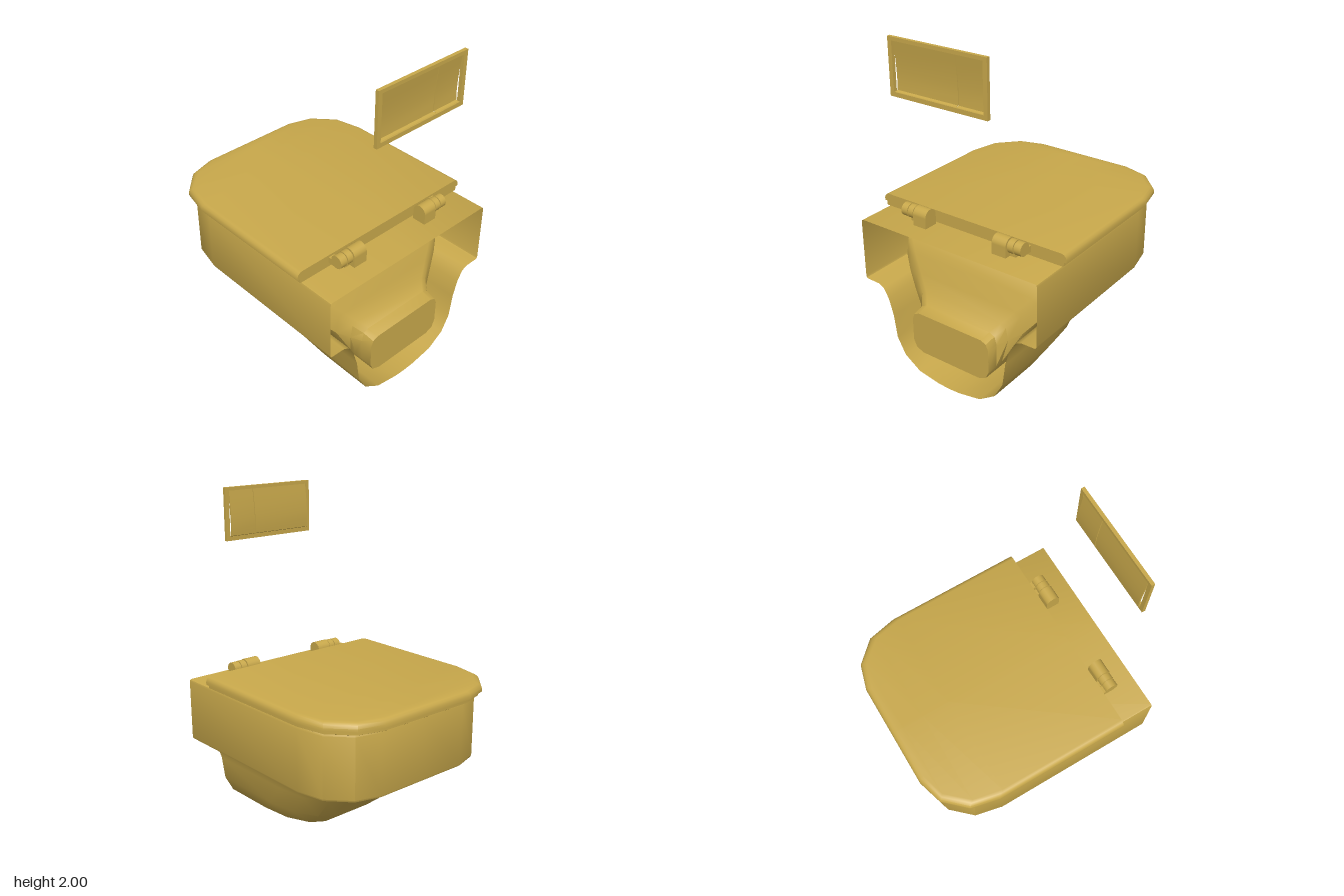
import * as THREE from 'three';
import { toCreasedNormals } from 'three/addons/utils/BufferGeometryUtils.js';

const material = new THREE.MeshStandardMaterial({ color: 0xc8a84b, side: THREE.DoubleSide });

function add(parent, name, geometry) {
  const mesh = new THREE.Mesh(geometry, material);
  mesh.name = name;
  parent.add(mesh);
  return mesh;
}

// Skins a list of equal-length rings of points; empty triangles are dropped
function loft(rings, closed, crease = 0.62) {
  const pos = [];
  const tri = (a, b, c) => {
    const area = new THREE.Vector3().subVectors(b, a).cross(new THREE.Vector3().subVectors(c, a)).length();
    if (area > 1e-7) for (const p of [a, b, c]) pos.push(p.x, p.y, p.z);
  };
  for (let i = 0; i < rings.length - 1; i++) {
    const r = rings[i], s = rings[i + 1], n = r.length;
    for (let j = 0; j < (closed ? n : n - 1); j++) {
      const k = (j + 1) % n;
      tri(r[j], r[k], s[k]);
      tri(r[j], s[k], s[j]);
    }
  }
  const g = new THREE.BufferGeometry();
  g.setAttribute('position', new THREE.Float32BufferAttribute(pos, 3));
  return toCreasedNormals(g, crease);
}

// Horizontal outline: straight sides from the back, faceted round nose
const NOSE = [[1, 1], [0.94, 0.5], [0.75, 0.13], [0.51, 0], [0, 0]];
function outline([y, w, nose, depth], back) {
  const half = [[w, back], ...NOSE.map(([u, v]) => [w * u, nose + depth * v])];
  const other = half.slice(0, -1).reverse().map(([x, z]) => [-x, z]);
  return [...half, ...other].map(([x, z]) => new THREE.Vector3(x, y, z));
}

function makeBowl() {
  const bowl = new THREE.Group();
  bowl.name = 'bowl';

  // Outer shell, open at the wall side: height, half width, nose z, nose depth
  const rows = [
    [0.9, 0, -0.637, 0.33], [0.9, 0.588, -0.637, 0.33], [0.896, 0.596, -0.646, 0.33],
    [0.885, 0.6, -0.65, 0.33], [0.535, 0.6, -0.65, 0.33], [0.524, 0.596, -0.646, 0.33],
    [0.52, 0.587, -0.637, 0.33], [0.518, 0.5, -0.54, 0.35], [0.5, 0.465, -0.475, 0.36],
    [0.44, 0.43, -0.375, 0.37], [0.34, 0.4, -0.275, 0.38], [0.2, 0.38, -0.16, 0.38],
    [0.1, 0.325, -0.035, 0.38], [0.03, 0.22, 0.12, 0.38], [0.004, 0.075, 0.28, 0.38],
    [0, 0, 0.3, 0.38],
  ];
  add(bowl, 'outerShell', loft(rows.map(r => outline(r, 0.69)), false));

  // Trapway: z, top half width, top y, shoulder y; the foot stays constant
  const sections = [
    [0.0, 0.53, 0.75, 0.62], [0.38, 0.53, 0.75, 0.62], [0.43, 0.515, 0.71, 0.59],
    [0.47, 0.46, 0.64, 0.52], [0.51, 0.385, 0.55, 0.43], [0.55, 0.315, 0.47, 0.38],
    [0.6, 0.275, 0.425, 0.36], [0.67, 0.27, 0.41, 0.36],
  ];
  const rings = sections.map(([z, w, top, mid]) => {
    const half = [[w - 0.05, top], [w - 0.015, top - 0.015], [w, mid], [0.27, 0.22], [0.25, 0.175], [0.2, 0.155]];
    return [...half, ...half.slice().reverse().map(([x, y]) => [-x, y])].map(([x, y]) => new THREE.Vector3(x, y, z));
  });
  const end = rings[rings.length - 1];
  rings.push(end.map(() => new THREE.Vector3(0, 0.28, 0.67)));
  add(bowl, 'trapway', loft(rings, true));

  // Neck joining the trapway to the deck
  const neck = [0.75, 0.895].map(y =>
    [[0.49, 0], [0.49, 0.3], [0.48, 0.33], [0.45, 0.35], [-0.45, 0.35], [-0.48, 0.33], [-0.49, 0.3], [-0.49, 0]]
      .map(([x, z]) => new THREE.Vector3(x, y, z)));
  add(bowl, 'neck', loft(neck, true));
  return bowl;
}

function makeHinge(side) {
  const hinge = new THREE.Group();
  hinge.name = side > 0 ? 'leftHinge' : 'rightHinge';
  const box = (name, x0, x1, y0, y1, z0, z1) =>
    add(hinge, name, new THREE.BoxGeometry(x1 - x0, y1 - y0, z1 - z0))
      .position.set(side * (x0 + x1) / 2, (y0 + y1) / 2, (z0 + z1) / 2);
  const barrel = (name, x0, x1, r) => {
    const g = new THREE.CylinderGeometry(r, r, x1 - x0, 20).rotateZ(Math.PI / 2);
    add(hinge, name, g).position.set(side * (x0 + x1) / 2, 0.962, 0.528);
  };
  barrel('postBarrel', 0.228, 0.318, 0.043);
  box('post', 0.228, 0.318, 0.9, 0.962, 0.485, 0.571);
  barrel('pin', 0.318, 0.37, 0.032);
  barrel('seatBarrel', 0.324, 0.36, 0.04);
  box('seatArm', 0.324, 0.36, 0.905, 0.945, 0.46, 0.54);
  barrel('lidBarrel', 0.366, 0.408, 0.039);
  box('lidArm', 0.366, 0.408, 0.925, 0.962, 0.46, 0.53);
  return hinge;
}

function makeFlushPlate() {
  const plate = new THREE.Group();
  plate.name = 'flushPlate';

  // Rectangular frame
  const rect = (Type, x, y0, y1) => new Type([[-x, y0], [x, y0], [x, y1], [-x, y1]].map(p => new THREE.Vector2(...p)));
  const shape = rect(THREE.Shape, 0.31, 1.69, 2.0);
  shape.holes.push(rect(THREE.Path, 0.285, 1.715, 1.98));
  add(plate, 'frame', new THREE.ExtrudeGeometry(shape, { depth: 0.02, bevelEnabled: false }).translate(0, 0, 0.67));

  // Two thin, bowed buttons, one wide and one narrow
  const curve = [[1.98, 0.673], [1.94, 0.668], [1.88, 0.661], [1.82, 0.657], [1.77, 0.656], [1.72, 0.659], [1.715, 0.672]];
  const profile = new THREE.Shape([
    ...curve.map(([y, z]) => new THREE.Vector2(-z, y)),
    ...curve.slice().reverse().map(([y, z]) => new THREE.Vector2(-z - 0.008, y)),
  ]);
  for (const [name, x0, x1] of [['wideButton', -0.283, 0.111], ['narrowButton', 0.115, 0.283]]) {
    const g = new THREE.ExtrudeGeometry(profile, { depth: x1 - x0, bevelEnabled: false });
    add(plate, name, toCreasedNormals(g.rotateY(Math.PI / 2).translate(x0, 0, 0), 0.5));
  }
  return plate;
}

export function createModel() {
  const model = new THREE.Group();
  model.name = 'wallHungToilet';
  model.add(makeBowl());

  // Seat and lid, closed flat at the hinge side
  const slab = rows => loft(rows.map(r => outline(r, 0.47)), true);
  add(model, 'seat', slab([
    [0.934, 0, -0.67, 0.34], [0.934, 0.605, -0.67, 0.34], [0.928, 0.61, -0.675, 0.34],
    [0.905, 0.61, -0.675, 0.34], [0.902, 0.605, -0.67, 0.34], [0.902, 0, -0.67, 0.34],
  ]));
  add(model, 'lid', slab([
    [0.975, 0, -0.66, 0.34], [0.975, 0.595, -0.66, 0.34], [0.971, 0.609, -0.674, 0.34],
    [0.961, 0.62, -0.685, 0.34], [0.945, 0.626, -0.691, 0.34], [0.928, 0.626, -0.691, 0.34],
    [0.928, 0.612, -0.677, 0.34], [0.938, 0.6, -0.665, 0.34], [0.938, 0, -0.665, 0.34],
  ]));

  for (const side of [1, -1]) model.add(makeHinge(side));
  model.add(makeFlushPlate());
  return model;
}
